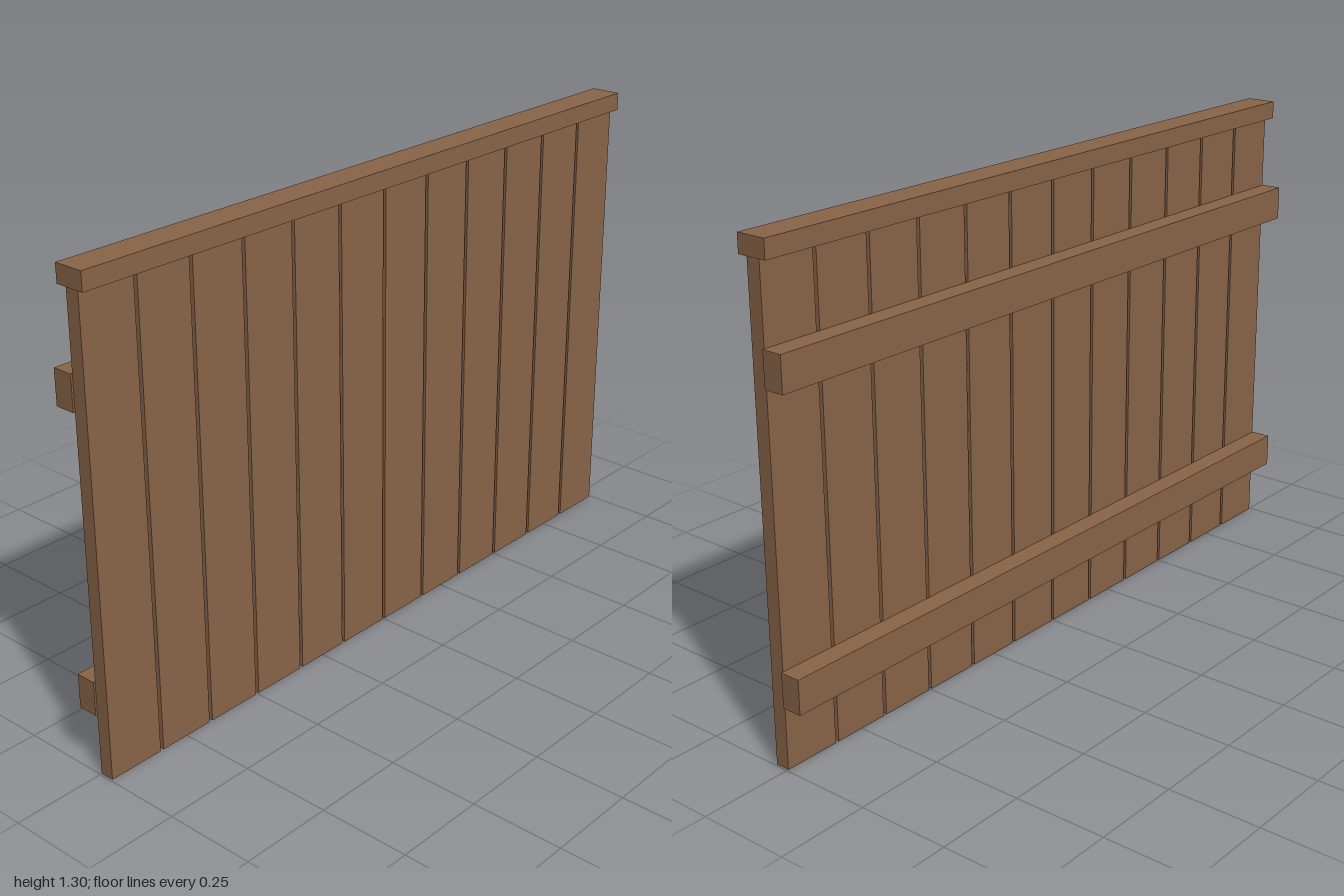
import * as THREE from 'three';

export function createModel() {
  const model = new THREE.Group();
  model.name = 'fencePanel';
  const wood = new THREE.MeshStandardMaterial({ color: 0x8a6549 });
  wood.name = 'brownWood';

  // Box given by its lower and upper limits on each axis
  const board = (name, [x0, x1], [y0, y1], [z0, z1]) => {
    const mesh = new THREE.Mesh(new THREE.BoxGeometry(x1 - x0, y1 - y0, z1 - z0), wood);
    mesh.position.set((x0 + x1) / 2, (y0 + y1) / 2, (z0 + z1) / 2);
    mesh.name = name;
    model.add(mesh);
  };

  // Upright planks with narrow gaps
  const count = 12, pitch = 2 / count, gap = 0.01;
  for (let i = 0; i < count; i++) {
    const x = -1 + i * pitch;
    board('plank' + (i + 1), [x + gap / 2, x + pitch - gap / 2], [0, 1.251], [-0.001, 0.038]);
  }

  // Rails across the back
  board('lowerRail', [-1, 1], [0.167, 0.26], [-0.057, -0.001]);
  board('upperRail', [-1, 1], [0.955, 1.048], [-0.057, -0.001]);

  // Capping board along the top
  board('topCap', [-1, 1], [1.251, 1.3], [-0.025, 0.059]);

  return model;
}
